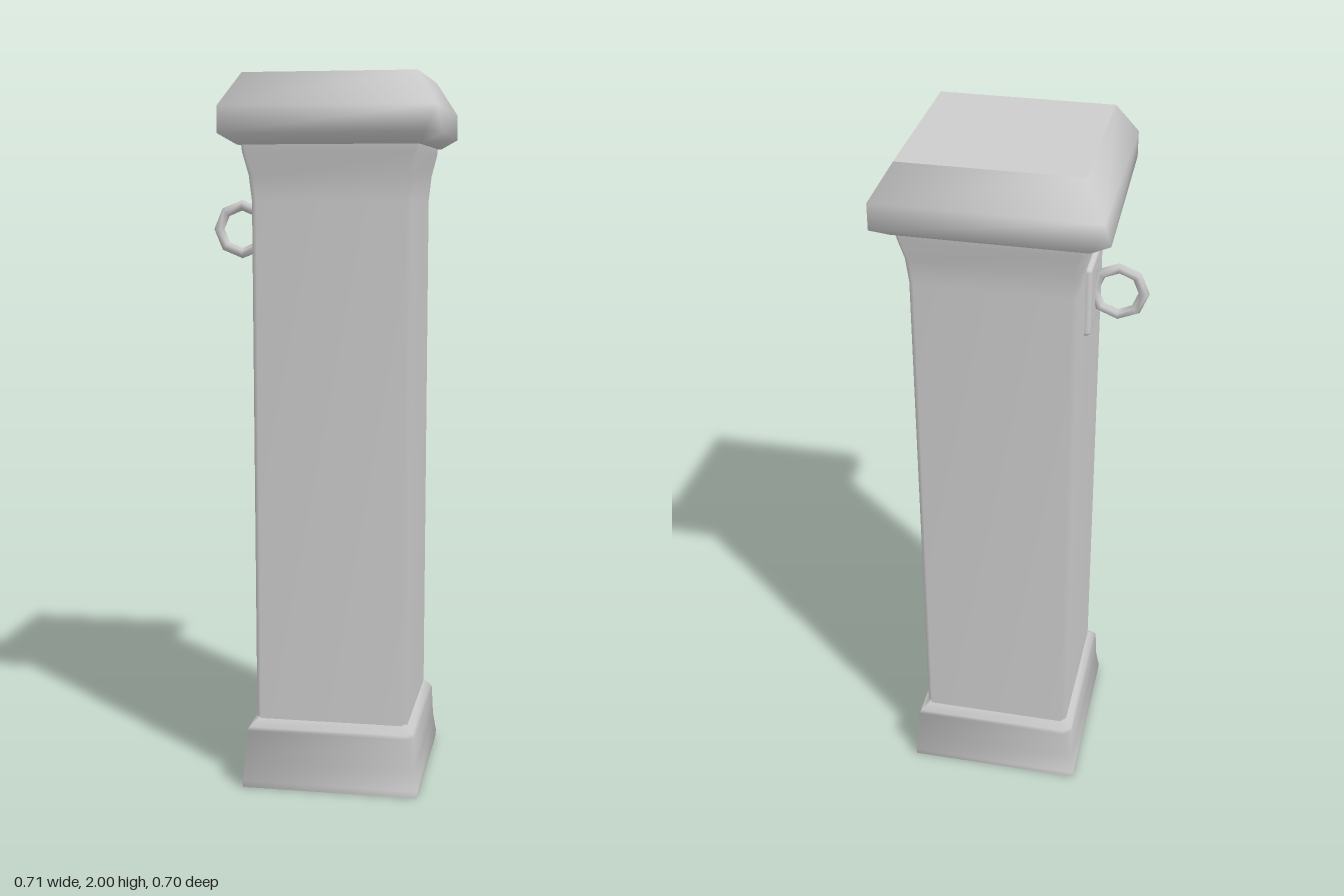
import * as THREE from 'three';
import { mergeVertices, mergeGeometries } from 'three/addons/utils/BufferGeometryUtils.js';
import { RoundedBoxGeometry } from 'three/addons/geometries/RoundedBoxGeometry.js';

// Corners of the square cross-section, going round from +x to +z
const CORNERS = [[1, 1], [-1, 1], [-1, -1], [1, -1]];

// One level: y, half width and corner cut; h2 and c2 apply to one diagonal pair of corners
function ring({ y, h, c = 0, h2 = h, c2 = c }) {
  return CORNERS.flatMap(([sx, sz], i) => {
    const half = i % 2 ? h : h2;
    const cut = half - (i % 2 ? c : c2);
    const alongX = [sx * half, y, sz * cut];
    const alongZ = [sx * cut, y, sz * half];
    return i % 2 ? [alongZ, alongX] : [alongX, alongZ];
  });
}

// Smooth-sided square loft through the levels, closed with flat ends
function loft(levels) {
  const rings = levels.map(ring);
  const n = rings[0].length;

  const sideIndex = [];
  for (let k = 0; k < rings.length - 1; k++) {
    for (let i = 0; i < n; i++) {
      const a = k * n + i, b = k * n + (i + 1) % n;
      sideIndex.push(a, a + n, b, b, a + n, b + n);
    }
  }
  let sides = new THREE.BufferGeometry();
  sides.setAttribute('position', new THREE.Float32BufferAttribute(rings.flat(2), 3));
  sides.setIndex(sideIndex);
  sides = mergeVertices(sides, 1e-5);
  sides.computeVertexNormals();

  const endIndex = [];
  for (let i = 1; i < n - 1; i++) {
    endIndex.push(0, i, i + 1);
    endIndex.push(n, n + i + 1, n + i);
  }
  const ends = new THREE.BufferGeometry();
  ends.setAttribute('position', new THREE.Float32BufferAttribute([rings[0], rings.at(-1)].flat(2), 3));
  ends.setIndex(endIndex);
  ends.computeVertexNormals();
  return mergeGeometries([sides, ends]);
}

export function createModel() {
  const stone = new THREE.MeshStandardMaterial({ color: 0xcccccc });
  stone.name = 'pale grey';

  const post = new THREE.Group();
  post.name = 'post';
  const add = (name, geometry) => {
    const mesh = new THREE.Mesh(geometry, stone);
    mesh.name = name;
    post.add(mesh);
    return mesh;
  };

  // Flared plinth
  add('base', loft([
    { y: 0, h: 0.25 },
    { y: 0.02, h: 0.252 },
    { y: 0.08, h: 0.243, c2: 0.015 },
    { y: 0.165, h: 0.239, c2: 0.02 },
    { y: 0.175, h: 0.234, c2: 0.02 },
    { y: 0.2, h: 0.215, c: 0.01 },
  ]));

  // Long shaft with narrow corner cuts, widening under the cap
  add('shaft', loft([
    { y: 0.19, h: 0.217, c: 0.014 },
    { y: 1.66, h: 0.219, c: 0.014 },
    { y: 1.73, h: 0.226, c: 0.014 },
    { y: 1.79, h: 0.24, c: 0.012 },
    { y: 1.82, h: 0.243, c: 0.012 },
  ]));

  // Bulging cap
  add('cap', loft([
    { y: 1.81, h: 0.25 },
    { y: 1.838, h: 0.293, h2: 0.306, c2: 0.044 },
    { y: 1.91, h: 0.293 },
    { y: 2, h: 0.237 },
  ]));

  // Tether plate and ring on the -x face
  const plate = add('ringPlate', new RoundedBoxGeometry(0.03, 0.2, 0.17, 2, 0.012));
  plate.position.set(-0.22, 1.58, 0);
  const tether = add('ring', new THREE.TorusGeometry(0.068, 0.015, 6, 8));
  tether.position.set(-0.295, 1.58, 0);

  // The whole post stands slightly turned
  post.rotation.y = THREE.MathUtils.degToRad(-10.7);
  post.position.x = 0.012;

  const model = new THREE.Group();
  model.name = 'stonePost';
  model.add(post);
  return model;
}
